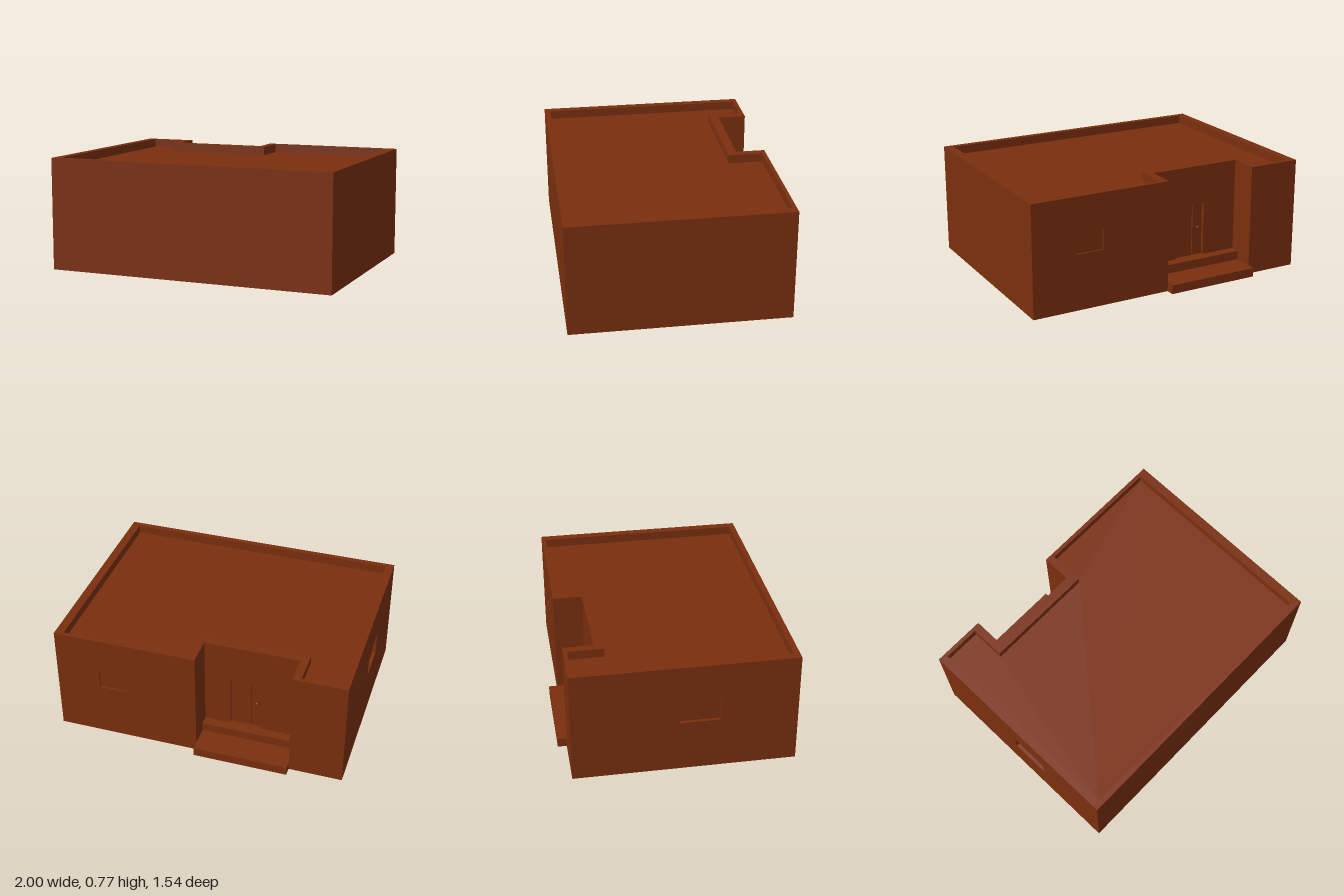
import * as THREE from 'three';

const brown = new THREE.MeshStandardMaterial({ color: 0x7a2f0e, flatShading: true });
const H = 0.77, ROOF = 0.71;

function add(parent, name, geometry) {
  const mesh = new THREE.Mesh(geometry, brown);
  mesh.name = name;
  parent.add(mesh);
  return mesh;
}

// Box given by its minimum and maximum corners
function box(parent, name, [x0, y0, z0], [x1, y1, z1]) {
  const g = new THREE.BoxGeometry(x1 - x0, y1 - y0, z1 - z0);
  g.translate((x0 + x1) / 2, (y0 + y1) / 2, (z0 + z1) / 2);
  return add(parent, name, g);
}

// Clockwise rectangle outline used for openings
function opening([s0, s1, y0, y1]) {
  const p = new THREE.Path();
  p.moveTo(s0, y0);
  p.lineTo(s0, y1);
  p.lineTo(s1, y1);
  p.lineTo(s1, y0);
  p.closePath();
  return p;
}

// Wall from a to b; local x runs along it, local z points outwards, outer face at z = 0
function wall(parent, name, a, b, t, { hole, startExt = 0, endExt = 0 } = {}) {
  const group = new THREE.Group();
  group.name = name;
  const dx = b[0] - a[0], dz = b[1] - a[1], len = Math.hypot(dx, dz);
  const shape = new THREE.Shape([[-startExt, 0], [len + endExt, 0], [len + endExt, H], [-startExt, H]]
    .map(([x, y]) => new THREE.Vector2(x, y)));
  if (hole) shape.holes.push(opening(hole));
  const g = new THREE.ExtrudeGeometry(shape, { depth: t, bevelEnabled: false });
  g.translate(0, 0, -t);
  add(group, name + 'Panel', g);
  group.position.set(a[0], 0, a[1]);
  group.rotation.y = Math.atan2(-dz, dx);
  parent.add(group);
  return group;
}

// Flat slab face from x,z points, facing up or down
function flat(parent, name, points, y, up) {
  const shape = new THREE.Shape(points.map(([x, z]) => new THREE.Vector2(x, up ? -z : z)));
  const g = new THREE.ShapeGeometry(shape);
  g.rotateX(up ? -Math.PI / 2 : Math.PI / 2);
  g.translate(0, y, 0);
  return add(parent, name, g);
}

export function createModel() {
  const house = new THREE.Group();
  house.name = 'house';

  // Outline with the entrance niche in the back
  const o = [[-1, 0.77], [1, 0.77], [1, -0.71], [0.015, -0.71], [0.015, -0.51],
    [-0.635, -0.51], [-0.635, -0.71], [-1, -0.71]];
  const backWindow = [0.305, 0.5, 0.385, 0.527];
  const sideWindow = [0.7, 0.97, 0.355, 0.52];
  const door = [0.18, 0.4, 0.124, 0.505];

  // Walls, rising above the roof as a parapet
  wall(house, 'frontWall', o[0], o[1], 0.04);
  wall(house, 'leftWall', o[1], o[2], 0.06);
  const backWall = wall(house, 'backWallLeft', o[2], o[3], 0.027, { hole: backWindow });
  wall(house, 'nicheSideLeft', o[3], o[4], 0.055, { endExt: 0.065 });
  const doorWall = wall(house, 'nicheBack', o[4], o[5], 0.065, { hole: door });
  wall(house, 'nicheSideRight', o[5], o[6], 0.055, { startExt: 0.065 });
  wall(house, 'backWallRight', o[6], o[7], 0.027);
  const sideWall = wall(house, 'rightWall', o[7], o[0], 0.055, { hole: sideWindow });

  // Recessed window panes
  for (const [parent, [s0, s1, y0, y1], d] of [[backWall, backWindow, 0.012], [sideWall, sideWindow, 0.025]]) {
    box(parent, 'windowPane', [s0, y0, -0.027], [s1, y1, -d]);
  }

  // Recessed door of a wide and a narrow leaf with a knob
  const [s0, s1, y0, y1] = door, split = 0.322;
  box(doorWall, 'doorBacking', [s0, y0, -0.06], [s1, y1, -0.035]);
  box(doorWall, 'doorLeafWide', [s0, y0, -0.035], [split - 0.003, y1, -0.022]);
  box(doorWall, 'doorLeafNarrow', [split + 0.003, y0, -0.035], [s1, y1, -0.022]);
  const knob = add(doorWall, 'doorKnob', new THREE.SphereGeometry(0.011, 12, 8));
  knob.position.set(0.363, 0.323, -0.014);

  // Roof deck inside the parapet, and the underside
  flat(house, 'roofDeck', [[-0.945, 0.73], [0.94, 0.73], [0.94, -0.683], [0.07, -0.683],
    [0.07, -0.445], [-0.69, -0.445], [-0.69, -0.683], [-0.945, -0.683]], ROOF, true);
  flat(house, 'floor', o, 0, false);

  // Entrance steps
  box(house, 'lowerStep', [-0.635, 0, -0.77], [0.015, 0.062, -0.51]);
  box(house, 'upperStep', [-0.635, 0.062, -0.577], [0.015, 0.124, -0.51]);

  return house;
}
